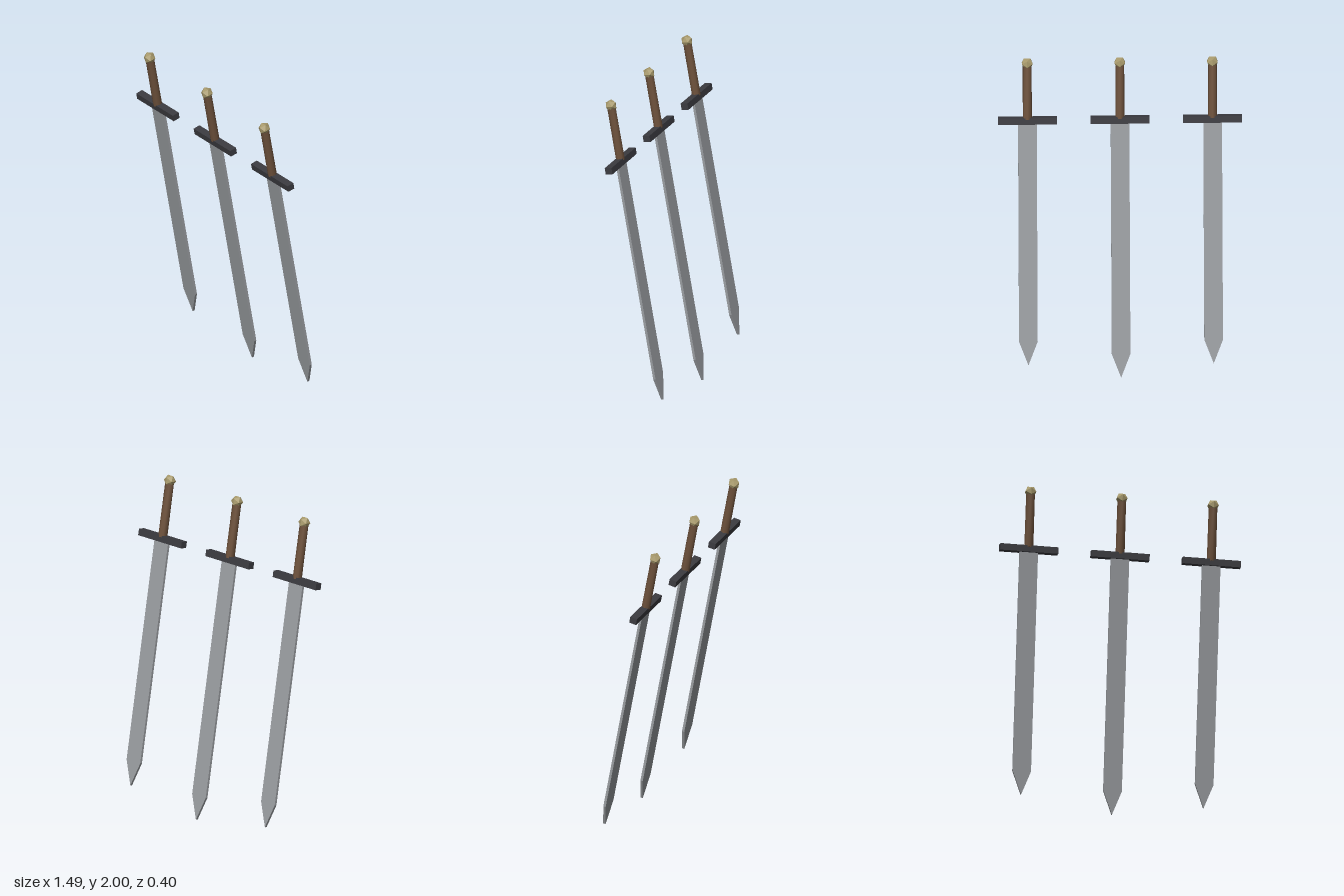
import * as THREE from 'three';
import { toCreasedNormals } from 'three/addons/utils/BufferGeometryUtils.js';

const steel = new THREE.MeshStandardMaterial({ name: 'steel', color: 0x9a9da1 });
const iron = new THREE.MeshStandardMaterial({ name: 'darkIron', color: 0x3b3b40 });
const leather = new THREE.MeshStandardMaterial({ name: 'brownLeather', color: 0x6e523c });
const brass = new THREE.MeshStandardMaterial({ name: 'brass', color: 0xa89a6c });

const TILT = 0.18; // lean towards the front
const HALF_WIDTH = 0.057;
const THICKNESS = 0.016;

function addPart(group, name, geometry, material, y = 0) {
  const mesh = new THREE.Mesh(geometry, material);
  mesh.name = name;
  mesh.position.y = y;
  group.add(mesh);
}

// Flat blade with a pointed tip, hanging below the guard
function bladeGeometry(length) {
  const shoulder = -length + 0.15;
  const outline = new THREE.Shape([
    new THREE.Vector2(-HALF_WIDTH, 0),
    new THREE.Vector2(-HALF_WIDTH, shoulder),
    new THREE.Vector2(0, -length),
    new THREE.Vector2(HALF_WIDTH, shoulder),
    new THREE.Vector2(HALF_WIDTH, 0),
  ]);
  const geometry = new THREE.ExtrudeGeometry(outline, { depth: THICKNESS, bevelEnabled: false });
  return geometry.translate(0, 0, -THICKNESS / 2);
}

// One sword, point down, with its origin at the middle of the guard
function createSword(name, bladeLength) {
  const sword = new THREE.Group();
  sword.name = name;
  addPart(sword, 'blade', bladeGeometry(bladeLength), steel);
  addPart(sword, 'guard', new THREE.BoxGeometry(0.36, 0.041, 0.046), iron);
  const grip = toCreasedNormals(new THREE.CylinderGeometry(0.027, 0.028, 0.34, 8), 0.9);
  addPart(sword, 'grip', grip, leather, 0.18);
  const pommel = new THREE.IcosahedronGeometry(0.038, 0);
  addPart(sword, 'pommel', pommel, brass, 0.362);
  return sword;
}

export function createModel() {
  const model = new THREE.Group();
  model.name = 'swordRow';
  // Row of three: the middle blade is a little longer
  const row = [
    ['rightSword', -0.565, 1.55],
    ['middleSword', 0, 1.634],
    ['leftSword', 0.565, 1.55],
  ];
  for (const [name, x, length] of row) {
    const sword = createSword(name, length);
    sword.position.set(x, 1.609, 0.098);
    sword.rotation.x = TILT;
    model.add(sword);
  }
  return model;
}
